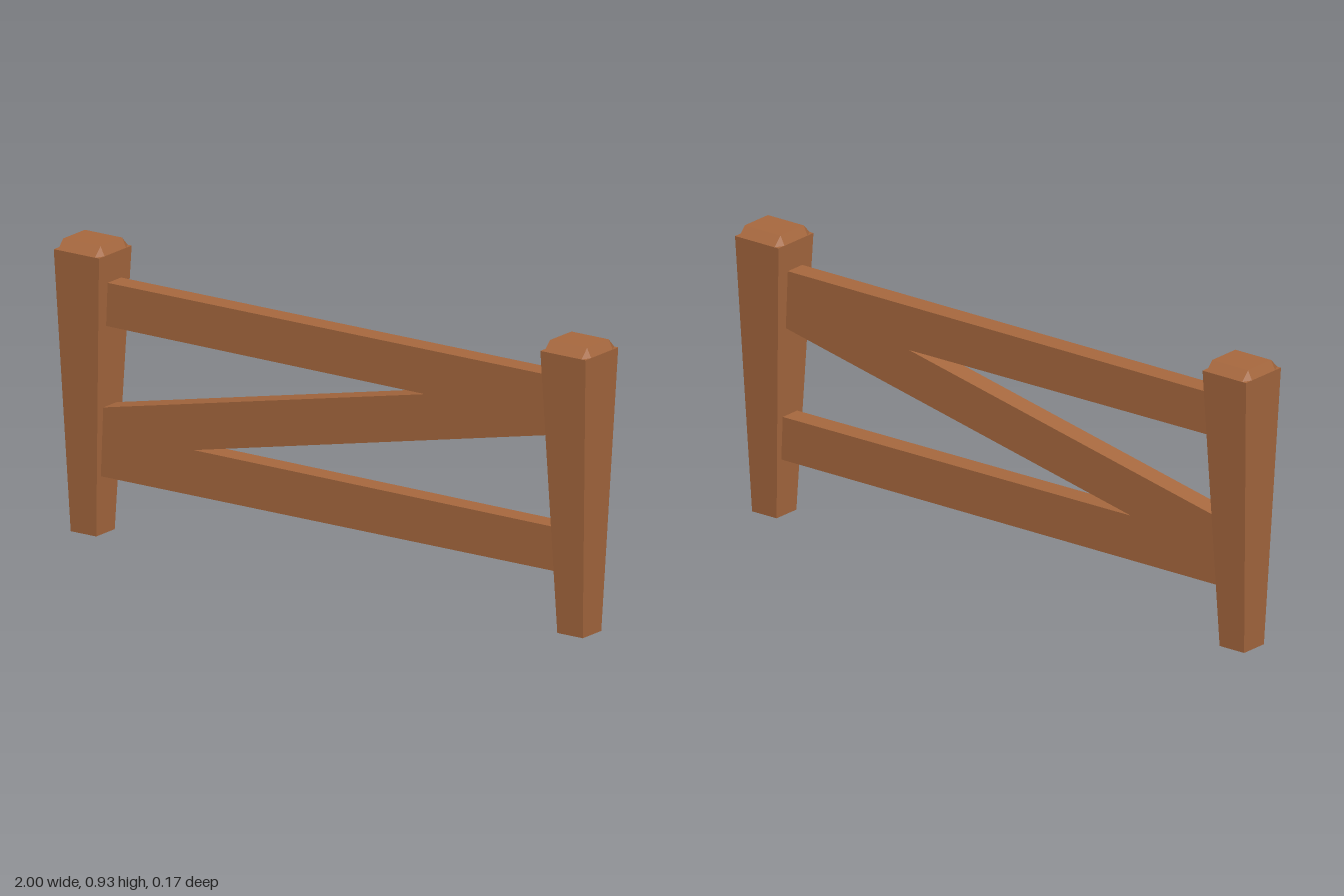
import * as THREE from 'three';
import { ConvexGeometry } from 'three/addons/geometries/ConvexGeometry.js';

const wood = new THREE.MeshStandardMaterial({ color: 0xa8693f });
wood.name = 'wood';

// Square post, narrow at the foot and wide at the head
function taperedPost(bottomHalf, topHalf, height) {
  const geometry = new THREE.BoxGeometry(2, height, 2).toNonIndexed();
  const p = geometry.attributes.position;
  for (let i = 0; i < p.count; i++) {
    const half = p.getY(i) > 0 ? topHalf : bottomHalf;
    p.setXYZ(i, p.getX(i) * half, p.getY(i) + height / 2, p.getZ(i) * half);
  }
  geometry.computeVertexNormals();
  return geometry;
}

// Bevelled cap: rectangular top, base with cut corners
function bevelledCap(half, topX, topZ, y0, y1) {
  const points = [];
  for (const sx of [-1, 1]) {
    for (const sz of [-1, 1]) {
      points.push(
        new THREE.Vector3(sx * topX, y1, sz * topZ),
        new THREE.Vector3(sx * half, y0, sz * topZ),
        new THREE.Vector3(sx * topX, y0, sz * half)
      );
    }
  }
  return new ConvexGeometry(points);
}

function addMesh(parent, name, geometry) {
  const mesh = new THREE.Mesh(geometry, wood);
  mesh.name = name;
  parent.add(mesh);
  return mesh;
}

export function createModel() {
  const model = new THREE.Group();
  model.name = 'fence';

  // Two posts with caps
  for (const [side, x] of [['left', 0.915], ['right', -0.915]]) {
    const post = new THREE.Group();
    post.name = side + 'Post';
    post.position.x = x;
    addMesh(post, side + 'PostShaft', taperedPost(0.048, 0.085, 0.9));
    addMesh(post, side + 'PostCap', bevelledCap(0.085, 0.07, 0.056, 0.9, 0.93));
    model.add(post);
  }

  // Top rail, diagonal brace and bottom rail as one flush Z-shaped board
  const outline = [
    [-0.9, 0.19], [0.9, 0.19], [0.9, 0.33], [-0.51, 0.335], [0.9, 0.635],
    [0.9, 0.81], [-0.9, 0.81], [-0.9, 0.672], [0.36, 0.667], [-0.9, 0.4],
  ].map(([x, y]) => new THREE.Vector2(x, y));
  const rails = new THREE.ExtrudeGeometry(new THREE.Shape(outline), { depth: 0.07, bevelEnabled: false });
  rails.translate(0, 0, -0.035);
  addMesh(model, 'railsAndBrace', rails);

  return model;
}
